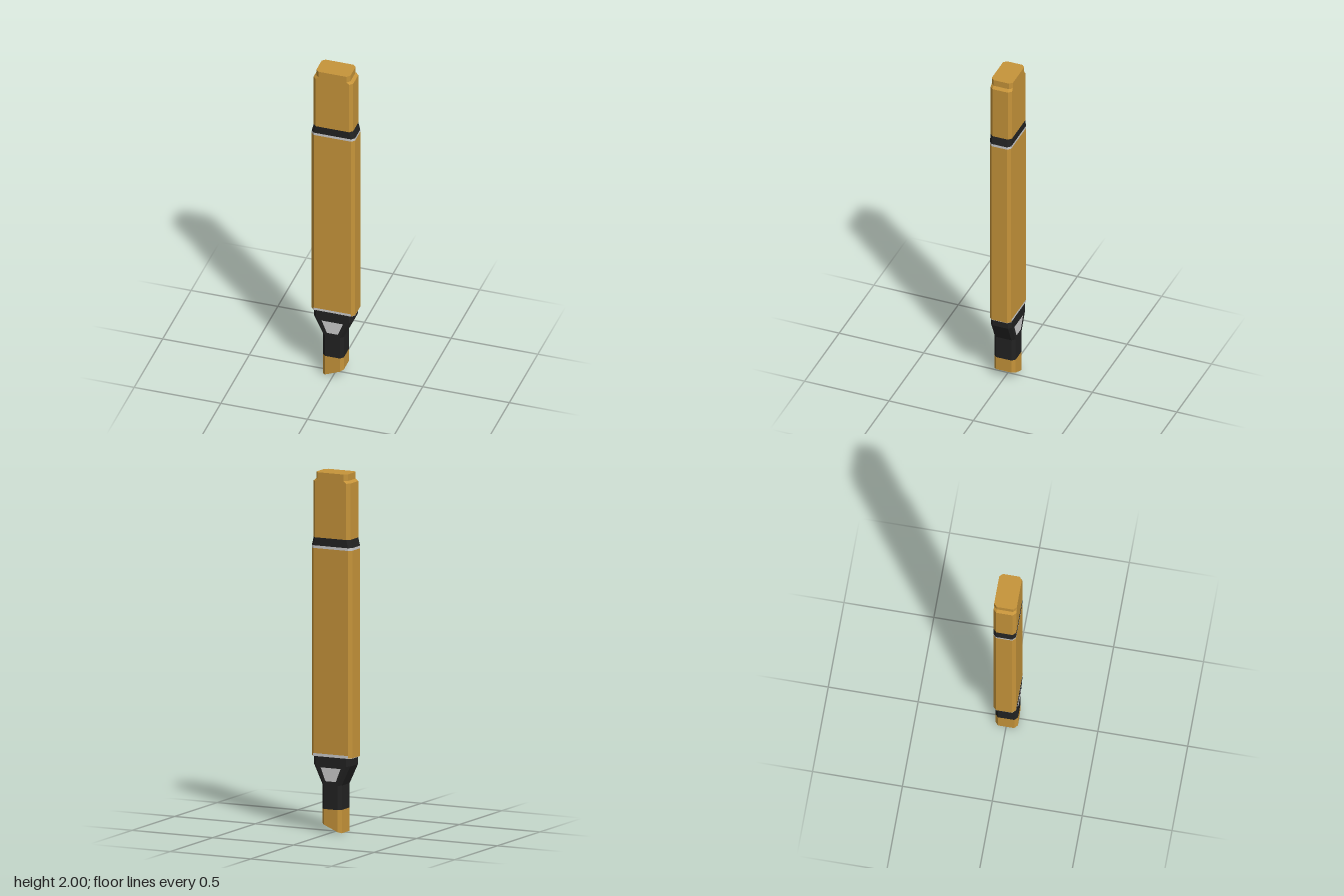
import * as THREE from 'three';

const DEPTH = 0.063, CHAMFER = 0.0175;
const paint = (color) => new THREE.MeshStandardMaterial({ color, flatShading: true });

// Chamfered rectangle at height y, counter-clockwise seen from above; slope tilts it along x
function ring({ y, w, slope = 0 }) {
  const a = w - CHAMFER, b = DEPTH - CHAMFER;
  return [[w, b], [w, -b], [a, -DEPTH], [-a, -DEPTH], [-w, -b], [-w, b], [-a, DEPTH], [a, DEPTH]]
    .map(([x, z]) => [x, y + slope * x, z]);
}

// Closed solid through a stack of sections, listed from the bottom up
function loft(name, material, sections) {
  const rings = sections.map(ring), pos = [];
  const tri = (...corners) => corners.forEach((p) => pos.push(...p));
  for (let k = 0; k < rings.length - 1; k++) {
    const lo = rings[k], hi = rings[k + 1];
    for (let i = 0; i < 8; i++) {
      const j = (i + 1) % 8;
      tri(lo[i], lo[j], hi[j]);
      tri(lo[i], hi[j], hi[i]);
    }
  }
  const bottom = rings[0], top = rings[rings.length - 1];
  for (let i = 1; i < 7; i++) {
    tri(bottom[0], bottom[i + 1], bottom[i]);
    tri(top[0], top[i], top[i + 1]);
  }
  const geometry = new THREE.BufferGeometry();
  geometry.setAttribute('position', new THREE.Float32BufferAttribute(pos, 3));
  geometry.computeVertexNormals();
  const mesh = new THREE.Mesh(geometry, material);
  mesh.name = name;
  return mesh;
}

export function createModel() {
  const group = new THREE.Group();
  const gold = paint(0xc6943a), black = paint(0x222222), grey = paint(0xcccccc);

  // Slanted nib, black grip and barrel
  group.add(
    loft('nib', gold, [{ y: 0.025, w: 0.06, slope: 0.417 }, { y: 0.13, w: 0.06 }]),
    loft('grip', black, [
      { y: 0.13, w: 0.06 }, { y: 0.265, w: 0.06 }, { y: 0.375, w: 0.112 }, { y: 0.425, w: 0.112 },
    ]),
    loft('barrel', gold, [{ y: 0.422, w: 0.125 }, { y: 1.577, w: 0.125 }]),
  );

  // Grey ring, black collar and stepped cap
  group.add(
    loft('upperRing', grey, [{ y: 1.577, w: 0.125 }, { y: 1.592, w: 0.125 }]),
    loft('collar', black, [{ y: 1.592, w: 0.125 }, { y: 1.637, w: 0.114 }]),
    loft('cap', gold, [
      { y: 1.637, w: 0.114 }, { y: 1.95, w: 0.114 }, { y: 1.963, w: 0.098 }, { y: 2, w: 0.098 },
    ]),
  );

  // Grey underside of the barrel
  group.add(loft('lowerRing', grey, [{ y: 0.42, w: 0.125 }, { y: 0.422, w: 0.125 }]));

  // Grey strip and tapered label, on front and back
  const label = new THREE.Shape([[-0.062, 0.36], [-0.032, 0.285], [0.032, 0.285], [0.062, 0.36]]
    .map(([x, y]) => new THREE.Vector2(x, y)));
  for (const [side, turn] of [['front', 0], ['back', Math.PI]]) {
    const panel = new THREE.Group();
    panel.name = side + 'Markings';
    const strip = new THREE.Mesh(new THREE.PlaneGeometry(0.215, 0.014), grey);
    strip.name = side + 'Strip';
    strip.position.set(0, 0.429, DEPTH + 0.0006);
    const plate = new THREE.Mesh(new THREE.ShapeGeometry(label), grey);
    plate.name = side + 'Label';
    plate.position.z = DEPTH + 0.0006;
    panel.add(strip, plate);
    panel.rotation.y = turn;
    group.add(panel);
  }
  return group;
}
